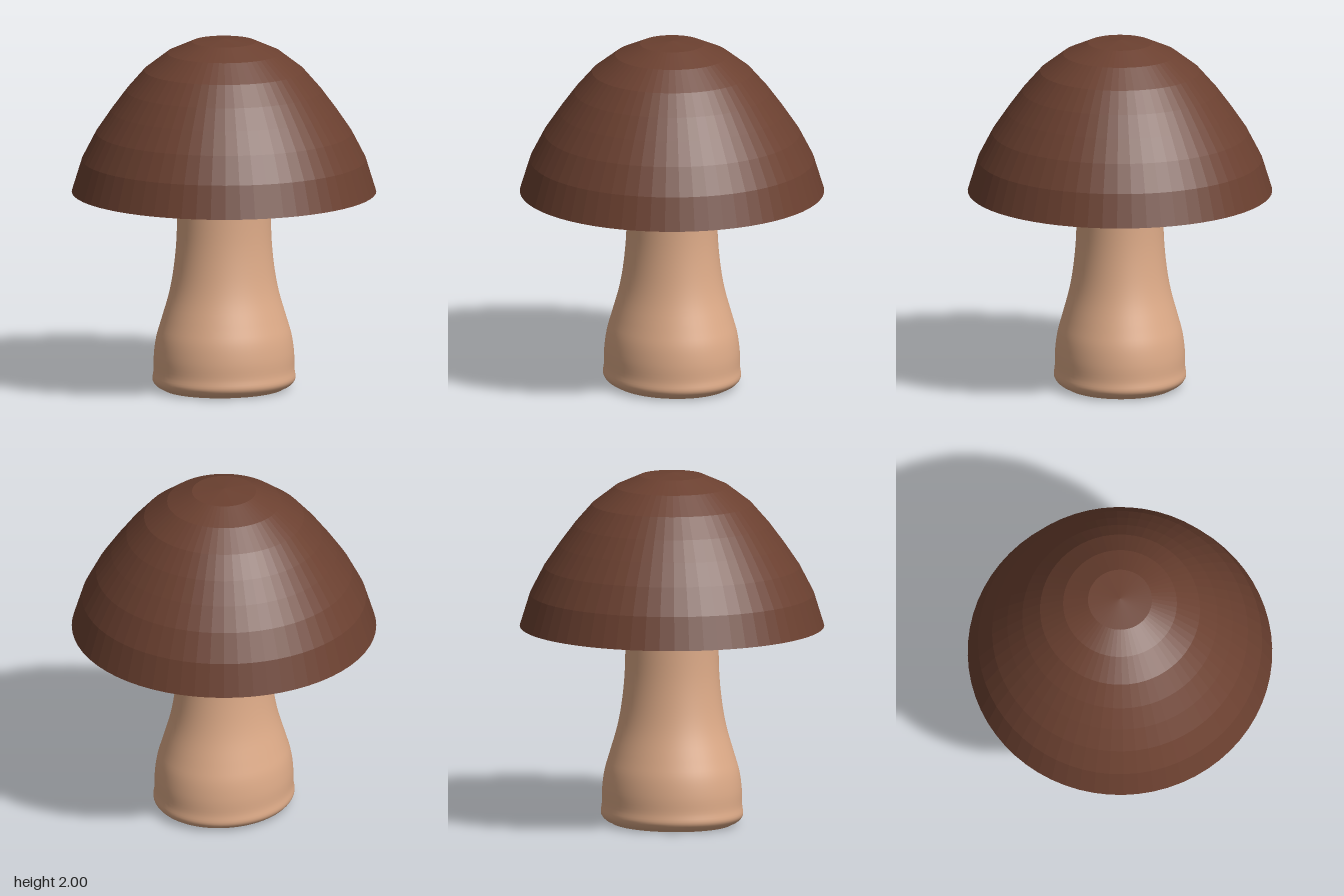
import * as THREE from 'three';

const SEGMENTS = 64;
const toPoints = (list) => list.map(([r, y]) => new THREE.Vector2(r, y));

// Lathe with hard facets
function facetedLathe(profile) {
  const geometry = new THREE.LatheGeometry(toPoints(profile), SEGMENTS).toNonIndexed();
  geometry.computeVertexNormals();
  return geometry;
}

function addMesh(parent, name, geometry, material) {
  const mesh = new THREE.Mesh(geometry, material);
  mesh.name = name;
  parent.add(mesh);
  return mesh;
}

export function createModel() {
  const model = new THREE.Group();
  model.name = 'mushroom';

  const capBrown = new THREE.MeshStandardMaterial({ color: 0x6b4030 });
  capBrown.name = 'capBrown';
  const stemTan = new THREE.MeshStandardMaterial({ color: 0xdeab88 });
  stemTan.name = 'stemTan';

  // Cap: banded dome and a nearly flat underside
  const cap = new THREE.Group();
  cap.name = 'cap';
  model.add(cap);
  addMesh(cap, 'capDome', facetedLathe([
    [0.857, 1.125], [0.80, 1.31], [0.72, 1.465], [0.635, 1.59], [0.55, 1.705],
    [0.45, 1.82], [0.32, 1.92], [0.18, 1.983], [0, 2],
  ]), capBrown);
  addMesh(cap, 'capUnderside', facetedLathe([[0, 1.103], [0.3, 1.106], [0.857, 1.125]]), capBrown);

  // Stem: smooth, slightly oval, swelling toward the foot
  const stem = new THREE.Group();
  stem.name = 'stem';
  stem.scale.z = 0.912;
  model.add(stem);
  const stemCurve = new THREE.SplineCurve(toPoints([
    [0.35, 0.005], [0.385, 0.022], [0.408, 0.055], [0.402, 0.11], [0.4, 0.2], [0.386, 0.3],
    [0.357, 0.4], [0.313, 0.55], [0.286, 0.7], [0.27, 0.88], [0.267, 1.12],
  ]));
  addMesh(stem, 'stemSide', new THREE.LatheGeometry(stemCurve.getPoints(40), SEGMENTS), stemTan);

  // Flat foot closing the stem
  const foot = addMesh(stem, 'stemFoot', facetedLathe([[0, 0], [0.345, 0], [0.35, 0.005]]), stemTan);
  foot.position.y = 0;

  return model;
}
